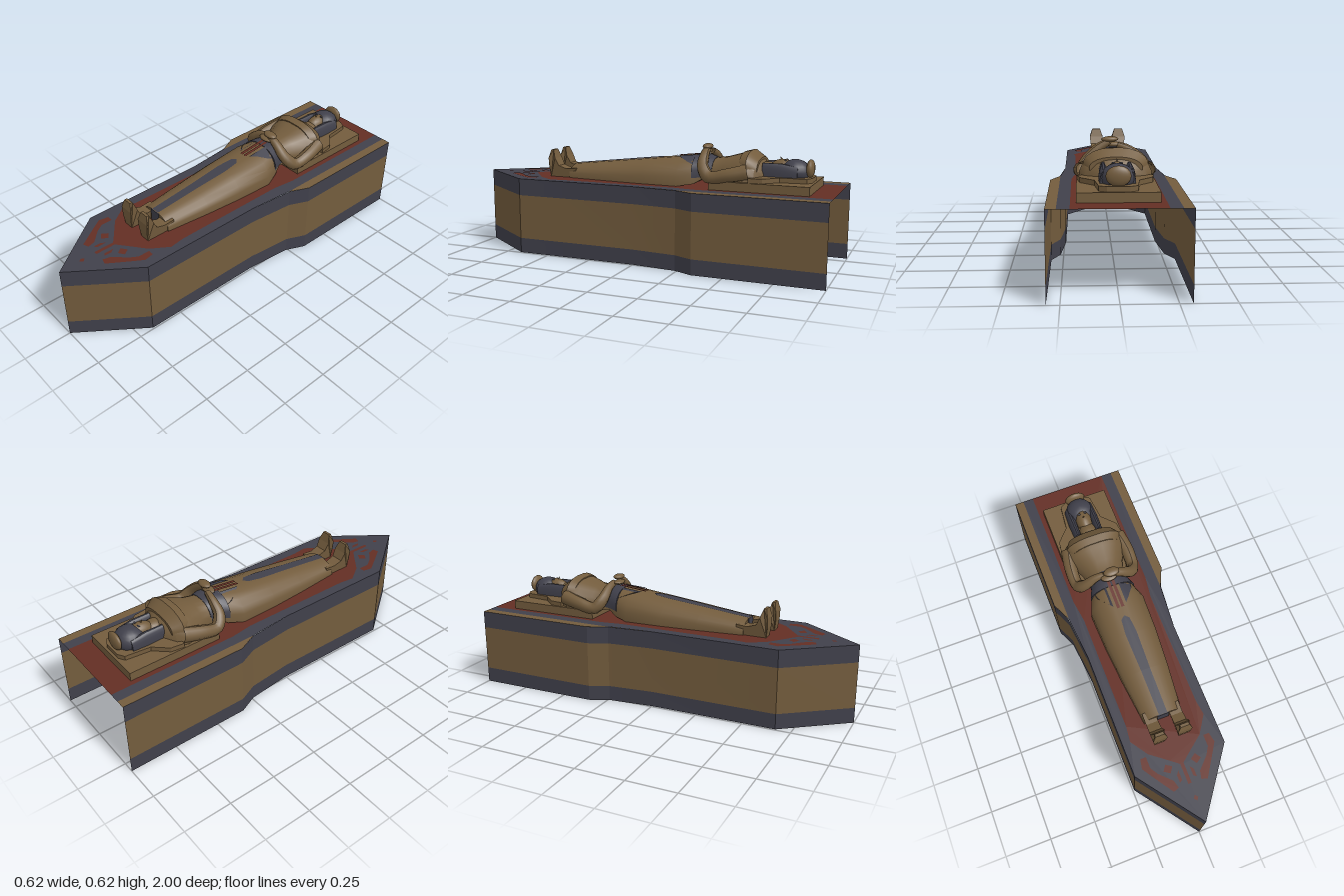
import * as THREE from 'three';
import { toCreasedNormals } from 'three/addons/utils/BufferGeometryUtils.js';

const mat = (name, color) => new THREE.MeshStandardMaterial({ name, color, side: THREE.DoubleSide });
const TOP = 0.408;

// half cross-section of the body: fraction of width, fraction of height
const PROFILE = [[1, 0], [1, 0.35], [0.9, 0.6], [0.7, 0.82], [0.45, 0.95], [0.22, 1]];
// skirt sections: z, half width, bottom, top
const skirtTop = z => 0.556 - 0.115 * (z + 0.26);
const SKIRT = [[-0.33, 0.095, 0.45], [-0.28, 0.115, 0.42], [-0.2, 0.146, TOP], [0, 0.14, TOP],
  [0.2, 0.125, TOP], [0.44, 0.1, TOP]].map(([z, w, b]) => [z, w, b, skirtTop(z)]);

function indexed(pos, idx, crease = 0.6) {
  const g = new THREE.BufferGeometry();
  g.setAttribute('position', new THREE.Float32BufferAttribute(pos, 3));
  g.setIndex(idx);
  return toCreasedNormals(g, crease);
}

// closed body through sections along z
function loft(sections) {
  const pos = [], idx = [], n = PROFILE.length * 2;
  for (const [z, w, b, t] of sections) {
    for (const [u, v] of PROFILE) pos.push(u * w, b + v * (t - b), z);
    for (const [u, v] of [...PROFILE].reverse()) pos.push(-u * w, b + v * (t - b), z);
  }
  const last = sections.length - 1;
  for (let i = 0; i < last; i++) for (let j = 0; j < n; j++) {
    const a = i * n + j, b = i * n + (j + 1) % n;
    idx.push(a, b, b + n, a, b + n, a + n);
  }
  for (let j = 1; j < n - 1; j++) {
    idx.push(0, j + 1, j);
    idx.push(last * n, last * n + j, last * n + j + 1);
  }
  return indexed(pos, idx);
}

// flat outline of [x, z] points laid at height y
function flat(points, y) {
  const g = new THREE.ShapeGeometry(new THREE.Shape(points.map(p => new THREE.Vector2(...p))));
  return g.rotateX(Math.PI / 2).scale(1, -1, 1).translate(0, y, 0);
}

// height of the skirt surface
function skirtY(x, z) {
  let i = 0;
  while (i < SKIRT.length - 2 && SKIRT[i + 1][0] < z) i++;
  const a = SKIRT[i], b = SKIRT[i + 1], k = (z - a[0]) / (b[0] - a[0]);
  const [w, lo, hi] = [1, 2, 3].map(c => a[c] + (b[c] - a[c]) * k);
  const u = Math.min(1, Math.abs(x) / w);
  let v = 1;
  for (let j = 0; j < PROFILE.length - 1; j++) {
    const [u0, v0] = PROFILE[j], [u1, v1] = PROFILE[j + 1];
    if (u <= u0 && u >= u1 && u0 > u1) v = v0 + (v1 - v0) * (u0 - u) / (u0 - u1);
  }
  return lo + v * (hi - lo);
}

// painted plate draped on the skirt
function drape(points, lift) {
  const g = flat(points, 0), p = g.attributes.position;
  for (let i = 0; i < p.count; i++) p.setY(i, skirtY(p.getX(i), p.getZ(i)) + lift);
  g.computeVertexNormals();
  return g;
}

// round limb with a radius at each point
function limb(points, radii) {
  const curve = new THREE.CatmullRomCurve3(points.map(p => new THREE.Vector3(...p)), false, 'centripetal');
  const steps = 20, sides = 10, g = new THREE.TubeGeometry(curve, steps, 1, sides), p = g.attributes.position;
  for (let i = 0; i <= steps; i++) {
    const t = i / steps, f = t * (radii.length - 1), k = Math.min(radii.length - 2, Math.floor(f));
    const r = radii[k] + (radii[k + 1] - radii[k]) * (f - k), c = curve.getPointAt(t), v = new THREE.Vector3();
    for (let j = 0; j <= sides; j++) {
      const n = i * (sides + 1) + j;
      v.fromBufferAttribute(p, n).sub(c).multiplyScalar(r).add(c);
      p.setXYZ(n, v.x, v.y, v.z);
    }
  }
  g.computeVertexNormals();
  return g;
}

const ball = (rx, ry, rz, x, y, z) => new THREE.SphereGeometry(1, 16, 12).scale(rx, ry, rz).translate(x, y, z);
const box = (w, h, d, x, y, z) => new THREE.BoxGeometry(w, h, d).translate(x, y, z);
const mirror = pts => pts.map(([x, z]) => [-x, z]);

export function createModel() {
  const root = new THREE.Group();
  const brown = mat('sandstone brown', 0x735c3d), navy = mat('dark slate blue', 0x40404b), red = mat('dark red', 0x632e24);
  const add = (name, geo, material, parent = root) => {
    const m = new THREE.Mesh(geo, material);
    m.name = name;
    parent.add(m);
    return m;
  };

  // open-backed hollow chest: banded walls
  const half = [[0.309, -1], [0.309, -0.34], [0.265, -0.24], [0.242, 0], [0.242, 0.67]];
  const outline = [...half, [0, 1], ...mirror(half).reverse()];
  const bands = [['lowerBand', 0, 0.08, navy], ['middleBand', 0.08, 0.318, brown], ['upperBand', 0.318, TOP, navy]];
  for (const [name, y0, y1, m] of bands) {
    const pos = [], idx = [];
    outline.forEach(([x, z], i) => {
      pos.push(x, y0, z, x, y1, z);
      const a = i * 2;
      if (i < outline.length - 1) idx.push(a, a + 1, a + 3, a, a + 3, a + 2);
    });
    add(name, indexed(pos, idx, 0.1), m);
  }

  // lid: red field, slate border, brown edge strips
  const field = [[0.206, -1], [0.206, -0.32], [0.19, -0.2], [0.19, 0.42], [0.2, 0.5], [0.14, 0.59], [0.05, 0.66], [0, 0.7]];
  const border = [[0.262, -1], [0.262, -0.235], [0.242, 0], [0.242, 0.67]];
  add('lidField', flat([...field, ...mirror(field.slice(0, -1)).reverse()], TOP), red);
  add('lidBorder', flat([...border, [0, 1], ...mirror(border).reverse(), ...mirror(field), ...field.slice(0, -1).reverse()], TOP), navy);
  const strip = [[0.262, -1], [0.309, -1], [0.309, -0.34], [0.262, -0.235]];
  // painted patches near the pointed end
  const patches = [
    [[0.155, 0.6], [0.185, 0.6], [0.195, 0.65], [0.15, 0.72], [0.09, 0.81], [0.06, 0.8], [0.07, 0.76], [0.13, 0.7], [0.155, 0.66]],
    [[0.05, 0.69], [0.08, 0.67], [0.1, 0.7], [0.07, 0.72]],
    [[0.03, 0.72], [0.045, 0.74], [0.045, 0.78], [0.03, 0.77]],
  ];
  for (const side of [1, -1]) {
    const flip = pts => side > 0 ? pts : mirror(pts);
    add('lidEdgeStrip', flat(flip(strip), TOP), brown);
    patches.forEach(p => add('lidPatch', flat(flip(p), TOP + 0.002), red));
  }
  add('lidPatch', flat([[-0.009, 0.69], [0.009, 0.69], [0.009, 0.8], [-0.009, 0.8]], TOP + 0.002), red);
  add('lidPatch', flat([[0, 0.86], [0.012, 0.875], [0, 0.89], [-0.012, 0.875]], TOP + 0.002), red);

  // bed slab and headrest
  add('bedSlab', box(0.36, 0.044, 0.5, 0, TOP + 0.022, -0.633), brown);
  const restHalf = [[0.05, -0.87], [0.085, -0.85], [0.1, -0.72], [0.165, -0.65], [0.175, -0.58]];
  const restShape = new THREE.Shape([...restHalf, ...mirror(restHalf).reverse()].map(p => new THREE.Vector2(...p)));
  add('headrest', new THREE.ExtrudeGeometry(restShape, { depth: 0.025, bevelEnabled: false })
    .rotateX(Math.PI / 2).translate(0, 0.475, 0), brown);

  // reclining figure
  const figure = new THREE.Group();
  figure.name = 'figure';
  root.add(figure);
  const part = (name, geo, m) => add(name, geo, m, figure);
  part('skirt', loft(SKIRT), brown);
  part('torso', loft([[-0.66, 0.04, 0.45, 0.5], [-0.63, 0.09, 0.44, 0.525], [-0.6, 0.145, 0.43, 0.56], [-0.55, 0.168, 0.43, 0.588],
    [-0.5, 0.155, 0.43, 0.575], [-0.43, 0.115, 0.43, 0.555], [-0.36, 0.094, 0.44, 0.545], [-0.3, 0.094, 0.45, 0.55]]), brown);
  part('belt', loft([[-0.37, 0.095, 0.46, 0.549], [-0.32, 0.1, 0.455, 0.565], [-0.27, 0.121, 0.45, 0.561]]), navy);
  part('collar', loft([[-0.61, 0.12, 0.5, 0.56], [-0.56, 0.15, 0.5, 0.596], [-0.52, 0.13, 0.5, 0.586]]), brown);

  // skirt decoration
  part('skirtStripe', drape([[0, -0.1], [0.022, -0.08], [0.03, 0], [0.024, 0.2], [0.022, 0.44],
    [-0.022, 0.44], [-0.024, 0.2], [-0.03, 0], [-0.022, -0.08]], 0.003), navy);
  part('stripeEnd', box(0.06, 0.067, 0.006, 0, TOP + 0.034, 0.441), navy);
  for (const x of [-0.012, 0.012])
    part('sashRibbon', drape([[x - 0.008, -0.3], [x + 0.008, -0.3], [x + 0.008, -0.145], [x - 0.008, -0.145]], 0.006), red);
  const wing = [[0.035, -0.28], [0.1, -0.28], [0.095, -0.24], [0.06, -0.19], [0.035, -0.16]];
  for (const pts of [wing, mirror(wing)]) part('sashWing', drape(pts, 0.006), navy);

  // folded arms, one hand resting on the other
  part('leftArm', limb([[0.14, 0.5, -0.57], [0.16, 0.48, -0.47], [0.155, 0.465, -0.38], [0.125, 0.51, -0.335],
    [0.07, 0.565, -0.325], [0.02, 0.595, -0.325]], [0.04, 0.036, 0.033, 0.032, 0.026, 0.018]), brown);
  part('leftHand', ball(0.042, 0.014, 0.026, 0.005, 0.606, -0.325).rotateZ(-0.02), brown);
  part('rightArm', limb([[-0.14, 0.5, -0.57], [-0.16, 0.48, -0.47], [-0.158, 0.465, -0.38], [-0.13, 0.51, -0.345],
    [-0.07, 0.56, -0.34], [-0.02, 0.58, -0.335]], [0.04, 0.036, 0.033, 0.032, 0.024, 0.016]), brown);
  part('rightHand', ball(0.045, 0.012, 0.026, 0, 0.58, -0.315), brown);

  // head
  part('neck', ball(0.045, 0.04, 0.06, 0, 0.5, -0.64), brown);
  part('face', ball(0.042, 0.052, 0.072, 0, 0.505, -0.715), brown);
  part('nose', new THREE.ConeGeometry(0.01, 0.035, 4).rotateX(0.5).translate(0, 0.555, -0.705), brown);
  part('wigCap', ball(0.075, 0.062, 0.075, 0, 0.497, -0.775), navy);
  part('headband', ball(0.055, 0.045, 0.02, 0, 0.516, -0.85), brown);
  for (const s of [1, -1]) {
    part('wigLappet', loft([[-0.8, 0.018, 0.46, 0.525], [-0.72, 0.022, 0.46, 0.54], [-0.625, 0.018, 0.47, 0.54]])
      .translate(s * 0.06, 0, 0), navy);
    part('eye', ball(0.009, 0.004, 0.005, s * 0.017, 0.553, -0.728), navy);
  }

  // upright feet
  const sole = [[0.4, TOP], [0.4, 0.46], [0.46, 0.455], [0.505, 0.47], [0.525, 0.51], [0.54, 0.555],
    [0.555, 0.555], [0.565, 0.51], [0.565, 0.46], [0.558, TOP]];
  const foot = new THREE.ExtrudeGeometry(new THREE.Shape(sole.map(p => new THREE.Vector2(...p))),
    { depth: 1, bevelEnabled: false }).translate(0, 0, -0.5).rotateY(-Math.PI / 2);
  const fp = foot.attributes.position;
  for (let i = 0; i < fp.count; i++) {
    const y = fp.getY(i);
    fp.setX(i, fp.getX(i) * (y < 0.51 ? 0.052 + (y - TOP) * 0.24 : 0.077 - (y - 0.51) * 0.7));
  }
  foot.computeVertexNormals();
  for (const s of [1, -1]) part('foot', foot, brown).position.x = s * 0.066;

  return root;
}
